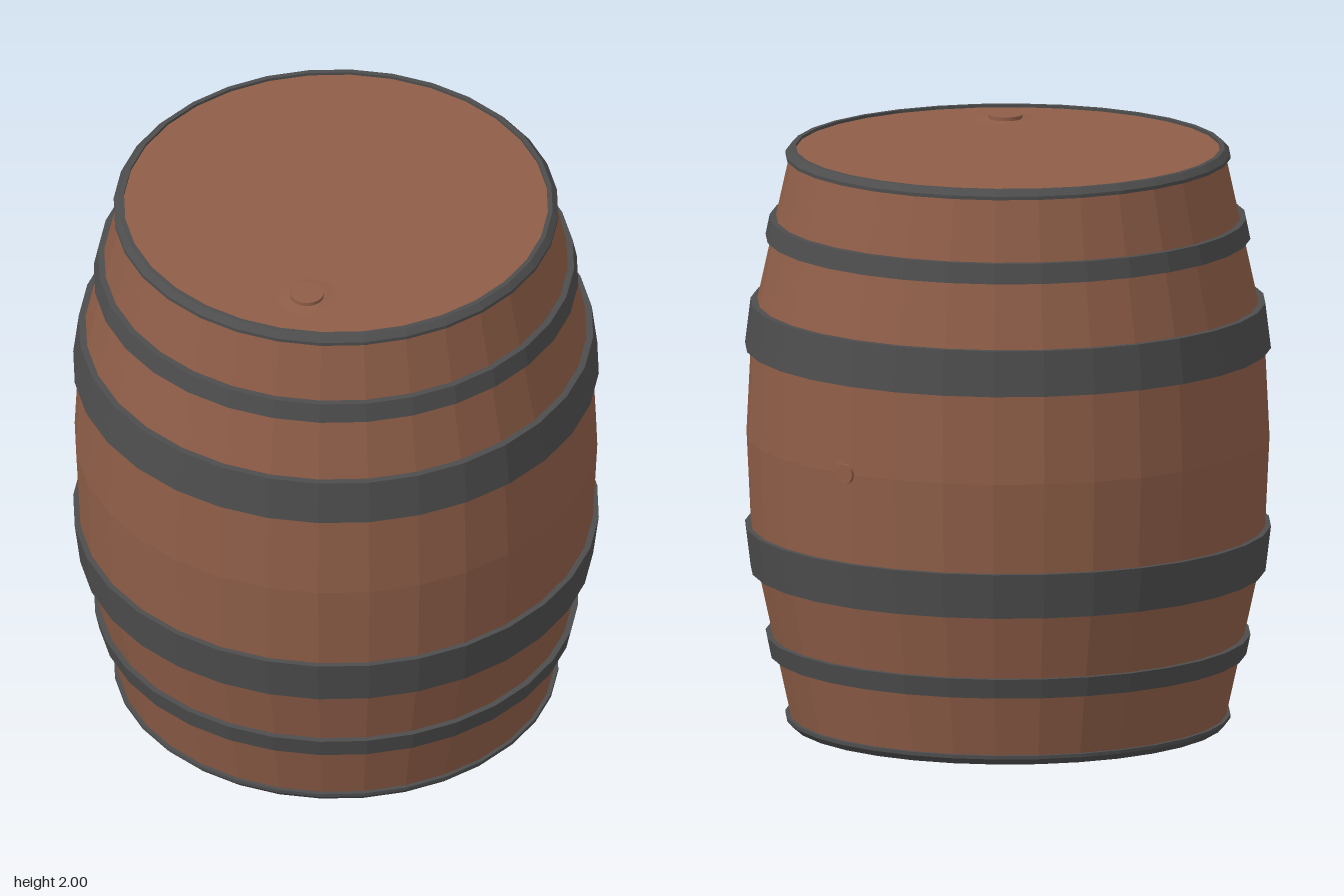
import * as THREE from 'three';

const SIDES = 32;

export function createModel() {
  const wood = new THREE.MeshStandardMaterial({ color: 0x8f5e48, flatShading: true });
  wood.name = 'wood';
  const iron = new THREE.MeshStandardMaterial({ color: 0x4d4d4d, flatShading: true });
  iron.name = 'iron';

  const group = new THREE.Group();
  group.name = 'barrel';

  const add = (name, geometry, material, x = -0.005, y = 0, z = 0) => {
    const mesh = new THREE.Mesh(geometry, material);
    mesh.name = name;
    mesh.position.set(x, y, z);
    group.add(mesh);
    return mesh;
  };
  const lathe = (points, sides = SIDES) =>
    new THREE.LatheGeometry(points.map(([r, y]) => new THREE.Vector2(r, y)), sides);

  // Bulging staves, closed by a flat head at each end
  const half = [[0.89, 1], [0.875, 1.31], [0.855, 1.45], [0.797, 1.715], [0.742, 1.965], [0.73, 1.983], [0, 1.983]];
  const lower = half.slice(1).reverse().map(([r, y]) => [r, 2 - 0.006 - y]);
  add('staves', lathe([...lower, ...half]), wood);

  // Hoops: closed cross-sections for the upper half, mirrored for the lower half
  const hoops = {
    WideHoop: [[0.86, 1.305], [0.895, 1.305], [0.876, 1.46], [0.84, 1.46], [0.86, 1.305]],
    NarrowHoop: [[0.79, 1.682], [0.825, 1.682], [0.811, 1.75], [0.775, 1.75], [0.79, 1.682]],
    RimHoop: [[0.73, 1.96], [0.757, 1.96], [0.757, 1.972], [0.738, 1.993], [0.722, 1.993], [0.722, 1.975]],
  };
  for (const [name, points] of Object.entries(hoops)) {
    add('upper' + name, lathe(points), iron);
    add('lower' + name, lathe(points.map(([r, y]) => [r, 1.993 - y]).reverse()), iron);
  }

  // Bungs: a short plug on a shallow collar
  const bung = (r, collar, height) =>
    lathe([[collar, 0], [r, 0.004], [r, height], [0, height]], 20);
  add('headBung', bung(0.058, 0.1, 0.017), wood, -0.415, 1.983, 0.32);
  const side = add('sideBung', bung(0.034, 0.058, 0.018), wood, 0.877, 1, 0.02);
  side.rotation.z = -Math.PI / 2;

  return group;
}
